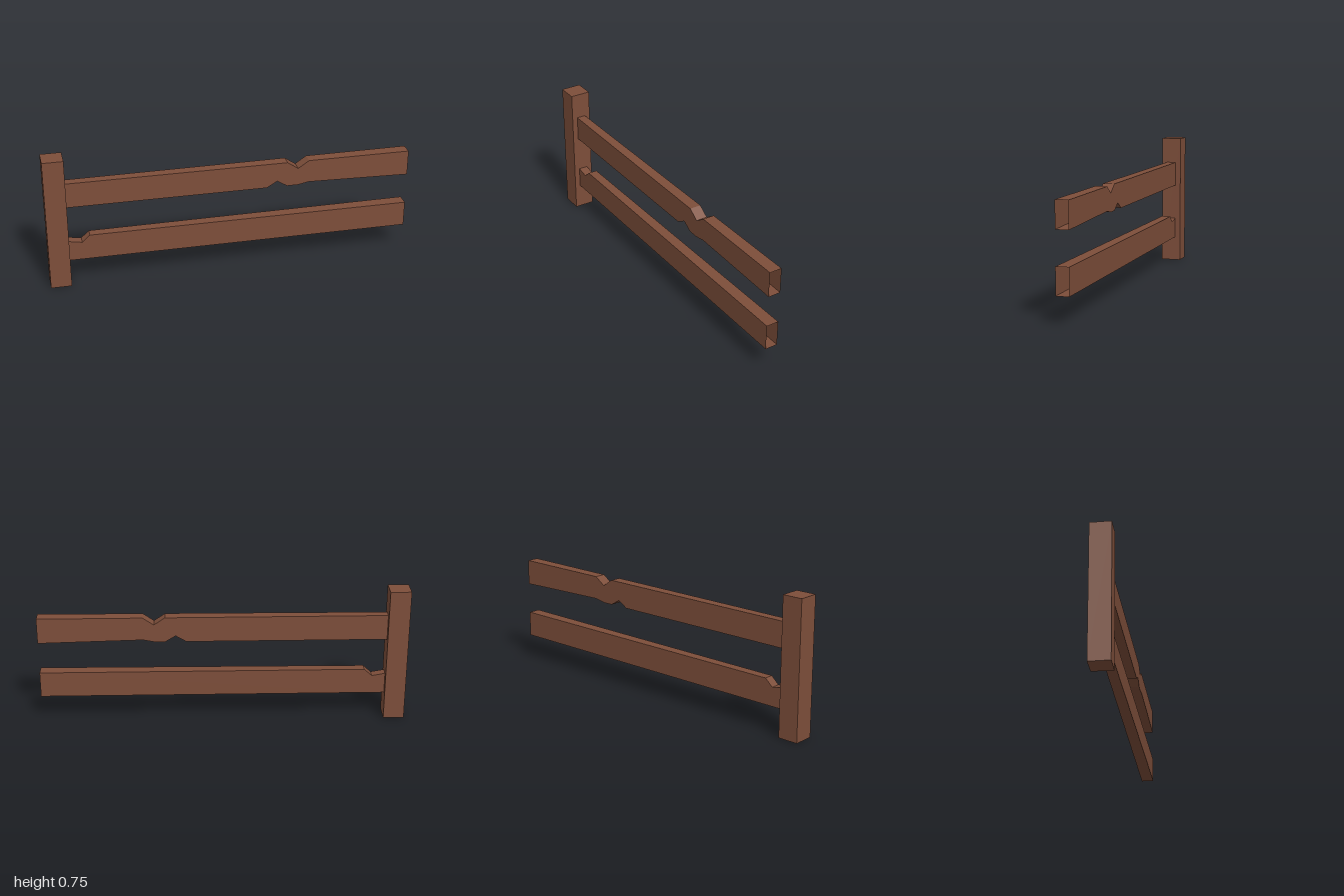
import * as THREE from 'three';

const POST_FACE = -0.887;

// Open square tube through stations [x, bottom, top], narrowing towards the post
function railGeometry(stations) {
  const positions = [];
  const index = [];
  for (const [x, bottom, top] of stations) {
    const w = THREE.MathUtils.mapLinear(x, POST_FACE, 1, 0.0255, 0.0345);
    positions.push(x, bottom, w, x, top, w, x, top, -w, x, bottom, -w);
  }
  for (let i = 0; i < stations.length - 1; i++) {
    for (let j = 0; j < 4; j++) {
      const a = i * 4 + j;
      const b = i * 4 + (j + 1) % 4;
      index.push(a, a + 4, b, b, a + 4, b + 4);
    }
  }
  const indexed = new THREE.BufferGeometry();
  indexed.setAttribute('position', new THREE.Float32BufferAttribute(positions, 3));
  indexed.setIndex(index);
  const geometry = indexed.toNonIndexed();
  geometry.computeVertexNormals();
  return geometry;
}

export function createModel() {
  const group = new THREE.Group();
  group.name = 'brokenFence';
  const wood = new THREE.MeshStandardMaterial({ color: 0x7d4e3a, flatShading: true });
  const railWood = wood.clone();
  railWood.side = THREE.DoubleSide;

  const add = (name, geometry, material) => {
    const mesh = new THREE.Mesh(geometry, material);
    mesh.name = name;
    group.add(mesh);
    return mesh;
  };

  // Upright post
  const post = add('post', new THREE.BoxGeometry(0.113, 0.748, 0.113), wood);
  post.position.set(-0.9435, 0.374, 0);

  // Upper rail, notched above and below
  add('upperRail', railGeometry([
    [POST_FACE, 0.462, 0.602],
    [0.2, 0.462, 0.602],
    [0.257, 0.496, 0.602],
    [0.313, 0.462, 0.602],
    [0.373, 0.462, 0.561],
    [0.433, 0.474, 0.602],
    [1, 0.46, 0.602],
  ]), railWood);

  // Lower rail, chipped beside the post
  add('lowerRail', railGeometry([
    [POST_FACE, 0.142, 0.258],
    [-0.815, 0.142, 0.245],
    [-0.772, 0.142, 0.284],
    [1, 0.142, 0.284],
  ]), railWood);

  return group;
}
